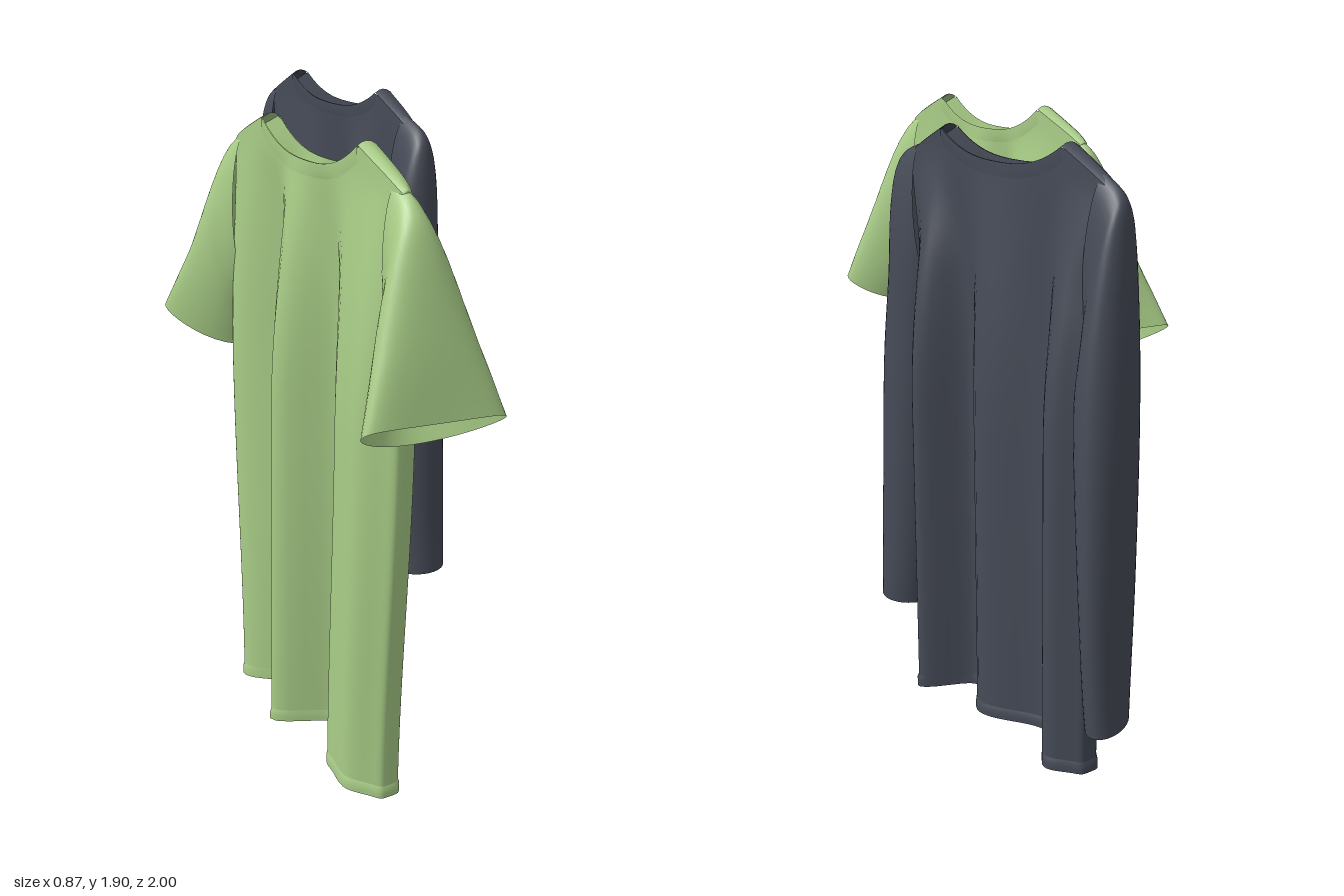
import * as THREE from 'three';

// Grid surface: fn(i, j) returns [x, y, z]; columns run around, rows run upward
function grid(cols, rows, closed, fn) {
  const pos = [], idx = [];
  for (let j = 0; j < rows; j++) for (let i = 0; i < cols; i++) pos.push(...fn(i, j));
  for (let j = 0; j < rows - 1; j++) {
    for (let i = 0; i < (closed ? cols : cols - 1); i++) {
      const n = (i + 1) % cols, a = j * cols + i, b = j * cols + n;
      idx.push(a, b, b + cols, a, b + cols, a + cols);
    }
  }
  const g = new THREE.BufferGeometry();
  g.setAttribute('position', new THREE.Float32BufferAttribute(pos, 3));
  g.setIndex(idx);
  g.computeVertexNormals();
  return g;
}

// Smooth interpolation through rows of [key, a, b]
function ease(table, key, col) {
  let i = 0;
  while (i < table.length - 2 && key > table[i + 1][0]) i++;
  const p = table[i], q = table[i + 1];
  const t = THREE.MathUtils.clamp((key - p[0]) / (q[0] - p[0]), 0, 1);
  return p[col] + (q[col] - p[col]) * (1 - Math.cos(t * Math.PI)) / 2;
}

function makeShirt(name, material, o) {
  const shirt = new THREE.Group();
  shirt.name = name;
  const add = (part, geometry) => {
    const m = new THREE.Mesh(geometry, material);
    m.name = part;
    shirt.add(m);
  };

  // Neckline and shoulder slope, by distance from the middle
  const topY = (s) => {
    const d = Math.abs(s) * o.shoulder;
    if (d < o.neck) return o.dip + (1.892 - o.dip) * Math.pow(d / o.neck, 2.6);
    const k = (d - o.neck) / (o.shoulder - o.neck);
    return 1.892 - 0.085 * k - 0.01 * Math.pow(k, 6);
  };

  // Point on the hanging cloth: angle around the body, height 0..1
  const cloth = (angle, v, off = 0) => {
    const s = Math.cos(angle), side = Math.sin(angle);
    const hem = o.hem + (side > 0 ? o.lift : o.lift * 0.5) * (1 - s * s);
    const y = hem + (topY(s) - hem) * v;
    const fold = Math.sin(THREE.MathUtils.clamp((1.8 - y) / 0.7, 0, 1) * Math.PI / 2);
    const swing = fold * (o.hang + (1 - o.hang) * (1 - v));
    const thick = 0.03 + (ease(o.folds, s, 2) - 0.03) * fold + off;
    const x = o.x + ease(o.folds, s, 1) * swing
      + Math.sign(side) * thick * Math.pow(Math.abs(side), 0.4);
    return [x, y, o.z + o.hemShift * (1 - v) + s * (ease(o.widths, y, 1) + off)];
  };

  const N = 120, R = 44;
  const around = (i) => (i / N) * Math.PI * 2;
  add('body', grid(N, R, true, (i, j) => cloth(around(i), j / (R - 1))));
  add('bottomHem', grid(N, 4, true, (i, j) => cloth(around(i), j * 0.007, j === 3 ? 0 : 0.004)));

  // Domed shoulder strips joining front and back, and the neckband on each face
  const neckAngle = Math.acos(o.neck / o.shoulder);
  for (const end of [1, -1]) {
    add('shoulderStrip', grid(16, 5, false, (i, j) => {
      const a = neckAngle * i / 15;
      const b = end > 0 ? a : Math.PI - a;
      const k = end * (1 - j / 2);
      const [x, y, z] = cloth(b, 1);
      return [o.x + (x - o.x) * k, y + 0.01 * (1 - k * k), z];
    }));
  }
  for (const face of [1, -1]) {
    add('neckband', grid(33, 3, false, (i, j) => {
      const a = neckAngle + (Math.PI - 2 * neckAngle) * i / 32;
      return cloth(face > 0 ? a : a + Math.PI, 0.976 + 0.012 * j, j ? 0.003 : 0.0005);
    }));
  }

  // Sleeve rings: outer z, outer y, inner z, inner y, half width, x shift, tilt, corner skew
  for (const dir of [1, -1]) {
    const rings = dir > 0 ? o.sleeveFront : o.sleeveBack;
    const C = 40, steps = 6, rows = (rings.length - 1) * steps + 1;
    const curves = [0, 1, 2, 3, 4, 5, 6, 7].map((c) =>
      new THREE.SplineCurve(rings.map((r, i) => new THREE.Vector2(i, r[c]))));
    add('sleeve', grid(C, rows, true, (i, j) => {
      const [oz, oy, iz, iy, w, dx, tilt, skew] =
        curves.map((c) => c.getPoint(j / (rows - 1)).y);
      const a = -dir * (i / C) * Math.PI * 2;
      const q = Math.cos(a), n = Math.sin(a);
      const k = (q + skew * n * n + 1) / 2;
      return [
        o.x + dx + w * n,
        iy + (oy - iy) * k,
        o.z + dir * (iz + (oz - iz) * k + tilt * n),
      ];
    }));
  }
  return shirt;
}

export function createModel() {
  const green = new THREE.MeshStandardMaterial({ color: 0xa9cd87, side: THREE.DoubleSide });
  green.name = 'lightGreenCloth';
  const slate = new THREE.MeshStandardMaterial({ color: 0x464b57, side: THREE.DoubleSide });
  slate.name = 'slateCloth';

  const model = new THREE.Group();
  model.name = 'hangingShirts';

  model.add(makeShirt('shortSleeveShirt', green, {
    x: -0.24, z: 0.345, neck: 0.265, shoulder: 0.465, dip: 1.81,
    hem: 0.004, lift: 0.06, hemShift: -0.01, hang: 0.7,
    widths: [[0, 0.435], [1.2, 0.482], [1.8, 0.465]],
    folds: [
      [-1, 0, 0.06], [-0.9, -0.01, 0.06], [-0.43, 0.105, 0.035], [-0.15, -0.09, 0.035],
      [0.17, 0.095, 0.035], [0.55, -0.045, 0.05], [0.78, -0.03, 0.085], [1, 0, 0.065],
    ],
    sleeveFront: [
      [0.42, 1.825, 0.43, 1.36, 0.05, 0, 0, 0],
      [0.5, 1.775, 0.445, 1.32, 0.075, 0, 0, 0],
      [0.55, 1.68, 0.46, 1.27, 0.105, 0, 0.01, 0.1],
      [0.603, 1.45, 0.48, 1.21, 0.152, 0, 0.02, 0.35],
      [0.635, 1.24, 0.51, 1.14, 0.2, 0, 0.03, 0.6],
    ],
    sleeveBack: [
      [0.42, 1.825, 0.43, 1.36, 0.05, 0, 0, 0],
      [0.5, 1.775, 0.445, 1.32, 0.075, 0, 0, 0],
      [0.535, 1.68, 0.455, 1.27, 0.105, 0, -0.01, 0.1],
      [0.58, 1.45, 0.465, 1.21, 0.145, 0.01, -0.03, 0.5],
      [0.62, 1.24, 0.485, 1.14, 0.185, 0.015, -0.06, 1],
    ],
  }));

  model.add(makeShirt('longSleeveShirt', slate, {
    x: 0.29, z: -0.43, neck: 0.27, shoulder: 0.45, dip: 1.825,
    hem: 0.175, lift: 0.02, hemShift: -0.03, hang: 0.85,
    widths: [[0.18, 0.4], [1.2, 0.405], [1.5, 0.41], [1.8, 0.45]],
    folds: [
      [-1, 0.03, 0.06], [-0.8, 0.04, 0.1], [-0.45, -0.03, 0.03], [0.07, 0.065, 0.03],
      [0.45, -0.05, 0.045], [0.72, 0.07, 0.08], [1, 0, 0.06],
    ],
    sleeveFront: [
      [0.41, 1.835, 0.37, 1.42, 0.05, 0, 0, 0],
      [0.5, 1.795, 0.375, 1.34, 0.065, 0, 0, 0],
      [0.54, 1.71, 0.38, 1.26, 0.08, -0.01, 0, 0],
      [0.565, 1.5, 0.385, 1.16, 0.09, -0.02, 0, 0],
      [0.6, 1.2, 0.4, 1, 0.1, -0.025, 0, 0],
      [0.62, 0.8, 0.425, 0.7, 0.1, -0.025, 0, 0],
      [0.63, 0.5, 0.45, 0.46, 0.095, -0.02, 0, 0],
      [0.64, 0.36, 0.465, 0.355, 0.09, -0.02, 0, 0],
    ],
    sleeveBack: [
      [0.41, 1.835, 0.37, 1.42, 0.05, 0, 0, 0],
      [0.475, 1.795, 0.375, 1.34, 0.065, 0, 0, 0],
      [0.505, 1.72, 0.38, 1.26, 0.08, 0.01, 0.005, 0],
      [0.525, 1.5, 0.385, 1.16, 0.1, 0.02, 0.01, 0],
      [0.54, 1.2, 0.4, 1, 0.11, 0.025, 0.02, 0],
      [0.55, 0.8, 0.425, 0.7, 0.11, 0.03, 0.03, 0],
      [0.555, 0.5, 0.435, 0.46, 0.1, 0.03, 0.035, 0],
      [0.56, 0.36, 0.44, 0.355, 0.09, 0.03, 0.035, 0],
    ],
  }));

  return model;
}
